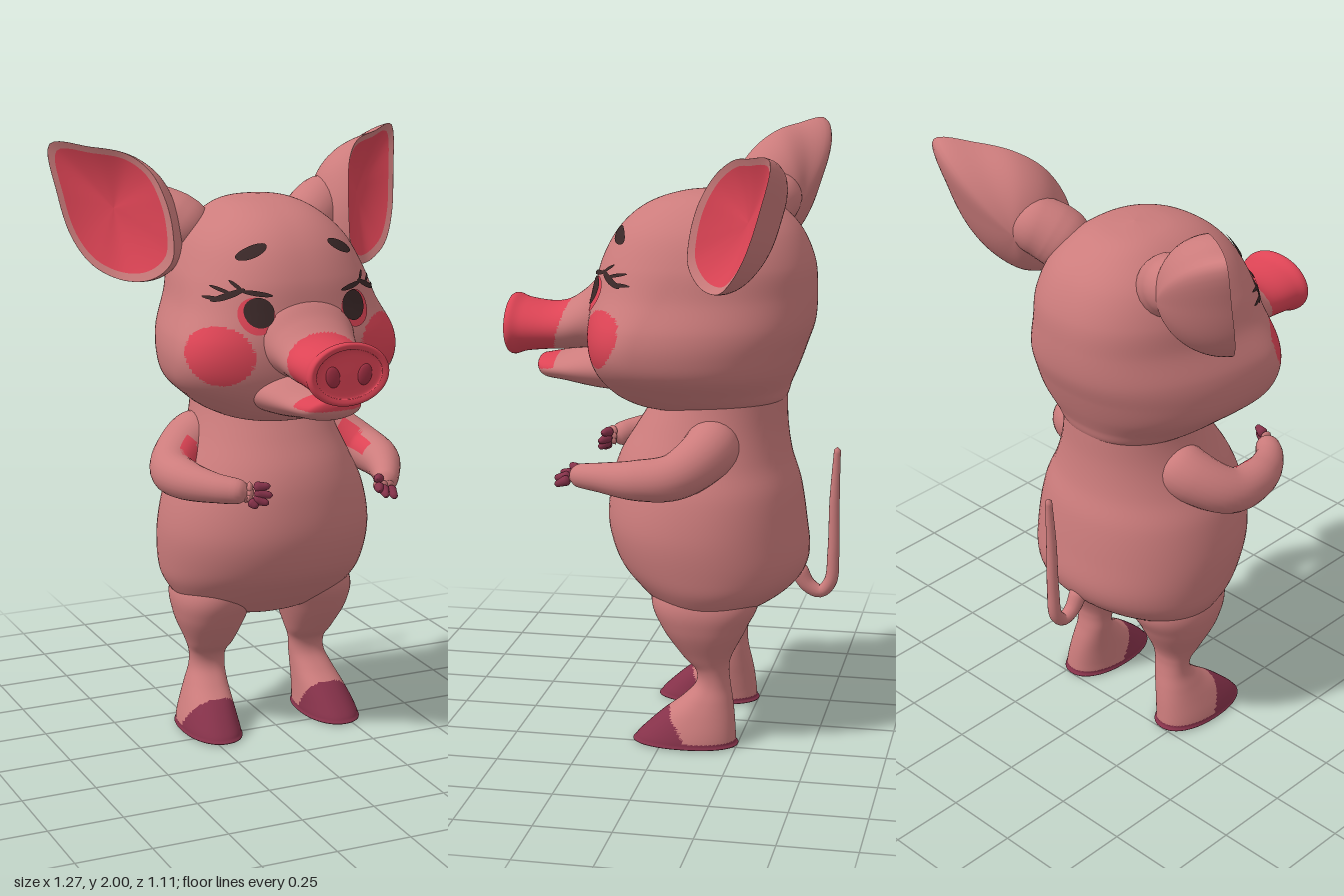
import * as THREE from 'three';

const mat = (name, color, side = THREE.FrontSide) => {
  const m = new THREE.MeshStandardMaterial({ color, side });
  m.name = name;
  return m;
};
const skin = mat('skin', 0xcc7c7c), rose = mat('rose', 0xdd4455), hoof = mat('hoof', 0x86324a);
const dark = mat('dark brown', 0x3a2828, THREE.DoubleSide), nostrilRed = mat('nostril red', 0xa02f42);
const V = (x, y, z) => new THREE.Vector3(x, y, z);

// Closed surface from point(u, v); faces for which paint(centre, v) is true take the second material.
function surface(name, nu, nv, point, paint, accent = rose) {
  const pts = [], faces = [];
  for (let j = 0; j <= nv; j++) for (let i = 0; i < nu; i++) pts.push(point(i / nu, j / nv));
  for (let j = 0; j < nv; j++) for (let i = 0; i < nu; i++) {
    const a = j * nu + i, b = j * nu + (i + 1) % nu;
    faces.push([a, b, b + nu, (j + 0.5) / nv], [a, b + nu, a + nu, (j + 0.5) / nv]);
  }
  const mid = pts.reduce((s, p) => s.add(p), V(0, 0, 0)).divideScalar(pts.length);
  const rel = pts.map(p => p.clone().sub(mid));
  const volume = faces.reduce((s, [a, b, c]) => s + rel[a].dot(rel[b].clone().cross(rel[c])), 0);
  const base = [], painted = [];
  for (const [a, b, c, v] of faces) {
    const centre = pts[a].clone().add(pts[b]).add(pts[c]).divideScalar(3);
    (paint && paint(centre, v) ? painted : base).push(a, ...(volume > 0 ? [b, c] : [c, b]));
  }
  const g = new THREE.BufferGeometry().setFromPoints(pts);
  g.setIndex([...base, ...painted]);
  g.addGroup(0, base.length, 0);
  g.addGroup(base.length, painted.length, 1);
  g.computeVertexNormals();
  const mesh = new THREE.Mesh(g, paint ? [skin, accent] : skin);
  mesh.name = name;
  return mesh;
}

// Smooth in-between rows for a table of cross-sections
function refine(rows, k) {
  const out = [], at = i => rows[Math.min(rows.length - 1, Math.max(0, i))];
  for (let i = 0; i < rows.length - 1; i++) for (let s = 0; s < k; s++) {
    const t = s / k;
    out.push(rows[i].map((b, c) => {
      const a = at(i - 1)[c], d = at(i + 1)[c], e = at(i + 2)[c];
      return b + 0.5 * t * (d - a + t * (2 * a - 5 * b + 4 * d - e + t * (3 * (b - d) + e - a)));
    }));
  }
  return [...out, rows[rows.length - 1]];
}

// Upright loft, rows: y, centre x, half width, front z, back z, widest z
const power = (c, n) => Math.sign(c) * Math.abs(c) ** (2 / n);
function upright(name, nu, rows, n, paint, accent) {
  return surface(name, nu, rows.length - 1, (u, v) => {
    const [y, cx, rx, zf, zb, zc] = rows[Math.round(v * (rows.length - 1))];
    const c = Math.cos(u * 2 * Math.PI), s = Math.sin(u * 2 * Math.PI);
    return V(cx + rx * power(c, n), y, zc + (s > 0 ? zf - zc : zc - zb) * power(s, n));
  }, paint, accent);
}

// Forward loft, rows: z, centre y, half width, half height
function forward(name, rows, paint) {
  const r = refine(rows, 8);
  return surface(name, 64, r.length - 1, (u, v) => {
    const [z, cy, rx, ry] = r[Math.round(v * (r.length - 1))], a = u * 2 * Math.PI;
    return V(rx * Math.cos(a), cy + ry * Math.sin(a), z);
  }, paint);
}

// Round-ended limb through points x, y, z, radius
function limb(name, pts, paint, nu = 24, nv = 48) {
  const curve = new THREE.CatmullRomCurve3(pts.map(p => V(p[0], p[1], p[2])));
  const frames = curve.computeFrenetFrames(nv), L = curve.getLength(), last = pts.length - 1;
  return surface(name, nu, nv, (u, v) => {
    const t = curve.getUtoTmapping(v) * last, i = Math.min(last - 1, Math.floor(t));
    const r = THREE.MathUtils.lerp(pts[i][3], pts[i + 1][3], t - i);
    const k = 1 - Math.min(1, Math.min(v, 1 - v) * L / r), j = Math.round(v * nv), a = u * 2 * Math.PI;
    const R = Math.max(0.0005, r * Math.sqrt(1 - k * k));
    return curve.getPointAt(v).addScaledVector(frames.normals[j], R * Math.cos(a))
      .addScaledVector(frames.binormals[j], R * Math.sin(a));
  }, paint);
}

const headRows = refine([
  [1.825, 0, 0, -0.14, -0.14, -0.14], [1.81, 0, 0.11, -0.01, -0.26, -0.14],
  [1.77, 0, 0.185, 0.1, -0.34, -0.12], [1.7, 0, 0.255, 0.18, -0.41, -0.1],
  [1.6, 0, 0.305, 0.235, -0.455, -0.07], [1.5, 0, 0.335, 0.258, -0.465, -0.01],
  [1.4, 0, 0.38, 0.275, -0.46, 0.05], [1.32, 0, 0.388, 0.275, -0.435, 0.06],
  [1.25, 0, 0.365, 0.26, -0.41, 0.03], [1.19, 0, 0.3, 0.23, -0.385, -0.02],
  [1.14, 0, 0.23, 0.18, -0.365, -0.08], [1.11, 0, 0.15, 0.1, -0.3, -0.1], [1.1, 0, 0, -0.1, -0.1, -0.1],
], 16);
const HEAD_N = 2.3;
function faceZ(x, y) {
  const i = Math.max(1, headRows.findIndex(r => r[0] < y)), a = headRows[i - 1], b = headRows[i];
  const [, , rx, zf, , zc] = a.map((v, c) => THREE.MathUtils.lerp(v, b[c], (a[0] - y) / (a[0] - b[0])));
  return zc + (zf - zc) * Math.max(0, 1 - (Math.abs(x) / rx) ** HEAD_N) ** (1 / HEAD_N);
}

// Thin oval that follows the face
function decal(name, x, y, rx, ry, rot, material, lift) {
  const g = new THREE.RingGeometry(0, 1, 24, 5), p = g.attributes.position;
  for (let i = 0; i < p.count; i++) {
    const a = p.getX(i) * rx, b = p.getY(i) * ry;
    const px = x + a * Math.cos(rot) - b * Math.sin(rot), py = y + a * Math.sin(rot) + b * Math.cos(rot);
    p.setXYZ(i, px, py, faceZ(px, py) + lift);
  }
  g.computeVertexNormals();
  const m = new THREE.Mesh(g, material);
  m.name = name;
  return m;
}

// Ear: a rim curve with a shallow bowl in front and a deep shell leaning back to the head
function ear(s) {
  const rim = new THREE.CatmullRomCurve3([
    [0.63, 1.99, -0.405], [0.62, 1.83, -0.37], [0.59, 1.69, -0.32], [0.535, 1.6, -0.265], [0.45, 1.555, -0.21],
    [0.375, 1.565, -0.145], [0.325, 1.625, -0.1], [0.318, 1.72, -0.105], [0.33, 1.82, -0.135], [0.36, 1.91, -0.19],
    [0.42, 1.965, -0.255], [0.52, 1.985, -0.32]].map(p => V(...p)), true);
  const centre = V(0.465, 1.78, -0.265), bowl = V(-0.02, 0, -0.045), shell = V(-0.155, -0.04, -0.1);
  return surface('ear', 72, 40, (u, v) => {
    const t = v * Math.PI, c = Math.cos(t), p = centre.clone().lerp(rim.getPoint(u), Math.sin(t));
    if (c > 0) p.addScaledVector(bowl, c * c);
    else p.addScaledVector(shell, -c);
    p.x *= s;
    return p;
  }, (p, v) => v < 0.35);
}

function finger(group, base, tip) {
  const mid = base.map((b, i) => b + (tip[i] - b) * 0.28);
  group.add(limb('finger', [[...base, 0.026], [...mid, 0.021]], null, 12, 10));
  const nail = limb('fingerTip', [[...mid, 0.024], [...tip, 0.009]], null, 12, 10);
  nail.material = hoof;
  group.add(nail);
}

export function createModel() {
  const pig = new THREE.Group();
  pig.name = 'pig';

  // Body
  const body = [[1.25, 0.22, 0.02, -0.37], [1.15, 0.225, 0.06, -0.372], [1.05, 0.25, 0.12, -0.375],
    [0.95, 0.29, 0.18, -0.39], [0.85, 0.335, 0.21, -0.42], [0.72, 0.36, 0.22, -0.44], [0.6, 0.355, 0.185, -0.45],
    [0.52, 0.335, 0.12, -0.41], [0.45, 0.275, 0.04, -0.31], [0.41, 0.15, -0.02, -0.22], [0.4, 0, -0.1, -0.1]];
  const withMid = (y, cx, rx, zf, zb) => [y, cx, rx, zf, zb, (zf + zb) / 2];
  pig.add(upright('body', 64, refine(body.map(([y, ...r]) => withMid(y, 0, ...r)), 6), 2.1));

  // Head with blushing cheeks, snout and jaw
  pig.add(upright('head', 128, headRows, HEAD_N,
    p => p.z > 0.12 && Math.hypot(Math.abs(p.x) - 0.282, p.y - 1.367) < 0.094));
  pig.add(forward('snout', [[0.05, 1.4, 0.21, 0.18], [0.2, 1.41, 0.185, 0.15], [0.25, 1.405, 0.163, 0.128],
    [0.3, 1.385, 0.146, 0.1], [0.36, 1.362, 0.133, 0.083], [0.42, 1.355, 0.128, 0.079], [0.5, 1.355, 0.132, 0.088],
    [0.538, 1.356, 0.14, 0.101], [0.555, 1.357, 0.133, 0.096], [0.553, 1.357, 0.115, 0.08],
    [0.546, 1.357, 0.1, 0.07], [0.546, 1.357, 0, 0]],
  p => p.z > 0.375 - (p.y - 1.36) * 0.3));
  pig.add(forward('jaw', [[0.1, 1.235, 0.2, 0.09], [0.25, 1.235, 0.175, 0.078], [0.36, 1.225, 0.133, 0.05],
    [0.43, 1.222, 0.1, 0.038], [0.456, 1.23, 0.065, 0.024], [0.463, 1.235, 0, 0]],
  p => p.z > 0.39 && p.y > 1.22 + (0.46 - p.z) * 0.15));

  for (const s of [1, -1]) {
    // Nostril
    const nostril = new THREE.Mesh(new THREE.SphereGeometry(1, 24, 16), nostrilRed);
    nostril.name = 'nostril';
    nostril.scale.set(0.024, 0.034, 0.009);
    nostril.position.set(s * 0.055, 1.352, 0.546);
    nostril.rotation.z = -s * 0.2;
    pig.add(nostril);

    // Eye, lashes and brow
    pig.add(decal('eyeRim', s * 0.172, 1.495, 0.056, 0.058, 0, rose, 0.004));
    pig.add(decal('eye', s * 0.165, 1.506, 0.046, 0.047, 0, dark, 0.008));
    for (const [x, y, rx, ry, rot] of [[0.165, 1.565, 0.046, 0.008, 0.15], [0.243, 1.557, 0.05, 0.009, -0.45],
      [0.22, 1.588, 0.02, 0.006, 0.8], [0.258, 1.572, 0.024, 0.006, 0.4], [0.282, 1.545, 0.02, 0.006, 0]])
      pig.add(decal('eyelash', s * x, y, rx, ry, s * rot, dark, 0.009));
    pig.add(decal('brow', s * 0.155, 1.687, 0.052, 0.016, -s * 0.42, dark, 0.008));

    // Ear and its root
    pig.add(ear(s));
    pig.add(limb('earRoot', [[s * 0.17, 1.66, -0.2, 0.1], [s * 0.26, 1.735, -0.25, 0.1], [s * 0.37, 1.79, -0.33, 0.085]]));

    // Leg with hoof
    const leg = [[0.64, 0.15, 0.08, 0, -0.24], [0.5, 0.177, 0.135, 0.045, -0.31], [0.4, 0.19, 0.12, 0.01, -0.275],
      [0.3, 0.187, 0.083, -0.06, -0.225], [0.25, 0.188, 0.064, -0.105, -0.215], [0.2, 0.19, 0.062, -0.105, -0.22],
      [0.15, 0.2, 0.07, -0.06, -0.23], [0.1, 0.21, 0.08, 0.005, -0.238], [0.05, 0.218, 0.09, 0.06, -0.243],
      [0.015, 0.221, 0.095, 0.092, -0.245], [0, 0.221, 0.09, 0.086, -0.24], [0, 0.22, 0, -0.08, -0.08]];
    pig.add(upright('leg', 64, refine(leg.map(([y, cx, ...r]) => withMid(y, s * cx, ...r)), 8), 2.2,
      p => p.y < 0.02 || (p.y < 0.122 && p.z > -0.1 + p.y * 0.65), hoof));
  }

  // Arms, the right hand turned further inwards
  const upper = s => [[s * 0.15, 1.045, -0.17, 0.1], [s * 0.255, 1.0, -0.15, 0.09], [s * 0.348, 0.943, -0.06, 0.076]];
  const crook = p => p.z > -0.14 && p.z < 0.06 && Math.hypot((Math.abs(p.x) - 0.292) / 0.035, (p.y - 0.997) / 0.047) < 1;
  const left = new THREE.Group(), right = new THREE.Group();
  left.name = 'leftArm';
  right.name = 'rightArm';
  left.add(limb('arm', [...upper(1), [0.358, 0.928, 0.06, 0.066], [0.315, 0.92, 0.19, 0.048], [0.262, 0.91, 0.295, 0.036]], crook));
  right.add(limb('arm', [...upper(-1), [-0.352, 0.937, 0.07, 0.066], [-0.295, 0.933, 0.19, 0.048], [-0.215, 0.928, 0.265, 0.038]], crook));
  for (const tip of [[0.215, 0.905, 0.345], [0.232, 0.888, 0.362], [0.27, 0.875, 0.352]])
    finger(left, [0.255 + (tip[0] - 0.235) * 0.6, 0.907, 0.28], tip);
  finger(left, [0.26, 0.92, 0.26], [0.222, 0.935, 0.31]);
  for (const tip of [[-0.15, 0.95, 0.29], [-0.146, 0.92, 0.3], [-0.162, 0.895, 0.305], [-0.2, 0.885, 0.3]])
    finger(right, [-0.222, 0.928 + (tip[1] - 0.915) * 0.5, 0.262], tip);
  pig.add(left, right);

  // Tail
  pig.add(limb('tail', [[0, 0.57, -0.41, 0.032], [0, 0.5, -0.45, 0.026], [0, 0.48, -0.493, 0.022], [0, 0.515, -0.525, 0.022],
    [0, 0.62, -0.534, 0.02], [0, 0.8, -0.535, 0.017], [0, 0.98, -0.542, 0.011]], null, 16, 60));
  return pig;
}
